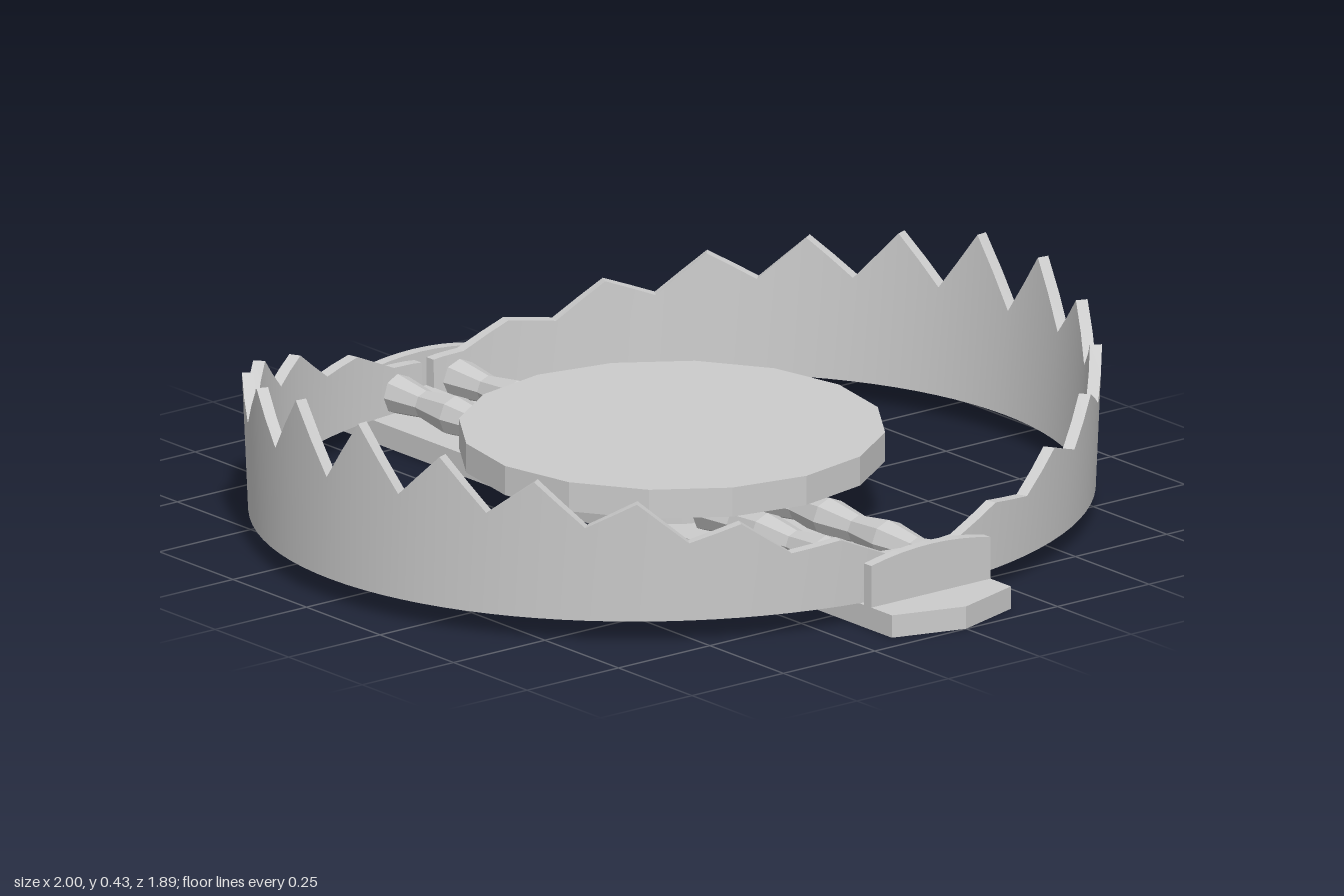
import * as THREE from 'three';
import { mergeGeometries, mergeVertices } from 'three/addons/utils/BufferGeometryUtils.js';

const grey = new THREE.MeshStandardMaterial({ color: 0xcccccc });
const greyFlat = new THREE.MeshStandardMaterial({ color: 0xcccccc, flatShading: true });
const BASE_TOP = 0.05;

function add(parent, name, geometry, material = greyFlat) {
  const mesh = new THREE.Mesh(geometry, material);
  mesh.name = name;
  parent.add(mesh);
  return mesh;
}

// Surface between two rows of points; smooth along its length, or flat
function strip(rowA, rowB, flat = false) {
  const pos = [], index = [];
  rowA.forEach((a, i) => {
    pos.push(...a, ...rowB[i]);
    if (i) {
      const k = 2 * i;
      index.push(k - 2, k, k + 1, k - 2, k + 1, k - 1);
    }
  });
  const geo = new THREE.BufferGeometry();
  geo.setAttribute('position', new THREE.Float32BufferAttribute(pos, 3));
  geo.setIndex(index);
  const out = flat ? geo.toNonIndexed() : geo;
  out.computeVertexNormals();
  return flat ? out : out.toNonIndexed();
}

// Half ring with a saw-tooth upper edge; teeth shrink towards the hinges
function jawGeometry() {
  // Edge heights every 7 degrees from the middle: valley, tip, valley, ...
  const edge = [0.28, 0.425, 0.288, 0.39, 0.278, 0.357, 0.26, 0.315, 0.225, 0.262, 0.185, 0.2, 0.15, 0.145];
  const thickness = 0.026;
  const point = (angle, y, inset) => {
    const flare = 0.016 * (y - BASE_TOP) / 0.37;
    return [
      Math.sin(angle) * (0.853 + flare - inset), y,
      Math.cos(angle) * (0.935 + flare - inset),
    ];
  };
  const outerLow = [], outerTop = [], innerTop = [], innerLow = [];
  const sub = 2, count = (edge.length - 1) * sub;
  for (let i = -count; i <= count; i++) {
    const t = Math.abs(i) / sub, k = Math.min(Math.floor(t), edge.length - 2);
    const y = THREE.MathUtils.lerp(edge[k], edge[k + 1], t - k);
    const angle = THREE.MathUtils.degToRad(Math.sign(i) * Math.min(7 * t, 89));
    outerLow.push(point(angle, BASE_TOP, 0));
    outerTop.push(point(angle, y, 0));
    innerTop.push(point(angle, y, thickness));
    innerLow.push(point(angle, BASE_TOP, thickness));
  }
  const last = 2 * count;
  return mergeGeometries([
    strip(outerLow, outerTop),
    strip(outerTop, innerTop, true),
    strip(innerTop, innerLow),
    strip(innerLow, outerLow, true),
    strip([outerLow[last], innerLow[last]], [outerTop[last], innerTop[last]], true),
    strip([innerLow[0], outerLow[0]], [innerTop[0], outerTop[0]], true),
  ]);
}

export function createModel() {
  const model = new THREE.Group();
  model.name = 'jawTrap';

  // Base bar with pointed ends
  const outline = new THREE.Shape([
    [-1, 0], [-0.95, -0.163], [0.95, -0.163], [1, 0], [0.95, 0.163], [-0.95, 0.163],
  ].map(([x, z]) => new THREE.Vector2(x, z)));
  const base = new THREE.ExtrudeGeometry(outline, { depth: BASE_TOP, bevelEnabled: false });
  add(model, 'baseBar', base.rotateX(-Math.PI / 2));

  // Toothed jaws
  const jaw = jawGeometry();
  add(model, 'frontJaw', jaw, grey);
  add(model, 'backJaw', jaw, grey).rotation.y = Math.PI;

  // Trigger plate on its post
  const post = add(model, 'triggerPost', new THREE.CylinderGeometry(0.2, 0.2, 0.1, 24), grey);
  post.position.y = 0.1;
  const plate = add(model, 'triggerPlate', new THREE.CylinderGeometry(0.457, 0.457, 0.065, 16));
  plate.position.y = 0.175;

  // Hinge plate profile with a gently arched top
  const hingeShape = new THREE.Shape();
  hingeShape.moveTo(-0.163, 0.04);
  hingeShape.lineTo(0.163, 0.04);
  hingeShape.lineTo(0.163, 0.143);
  hingeShape.quadraticCurveTo(0, 0.178, -0.163, 0.143);
  hingeShape.closePath();
  const hinge = new THREE.ExtrudeGeometry(hingeShape, { depth: 0.025, bevelEnabled: false, curveSegments: 8 });
  hinge.rotateY(Math.PI / 2);

  // Rippled spring profile, turned about its length
  const ripple = [new THREE.Vector2(0, 0)];
  for (let i = 0; i <= 12; i++) {
    ripple.push(new THREE.Vector2(0.038 + 0.007 * Math.cos(i * Math.PI / 2), i * 0.05));
  }
  ripple.push(new THREE.Vector2(0, 0.6));
  const spring = new THREE.LatheGeometry(ripple, 8).rotateZ(-Math.PI / 2);

  for (const side of [-1, 1]) {
    const end = new THREE.Group();
    end.name = side > 0 ? 'leftEnd' : 'rightEnd';
    end.rotation.y = side > 0 ? 0 : Math.PI;
    add(end, 'hingePlate', hinge).position.x = 0.855;
    for (const z of [-0.085, 0.085]) {
      add(end, 'spring', spring).position.set(0.23, 0.09, z);
    }
    add(end, 'centreRail', new THREE.BoxGeometry(0.66, 0.035, 0.035)).position.set(0.525, 0.065, 0);
    model.add(end);
  }
  return model;
}
